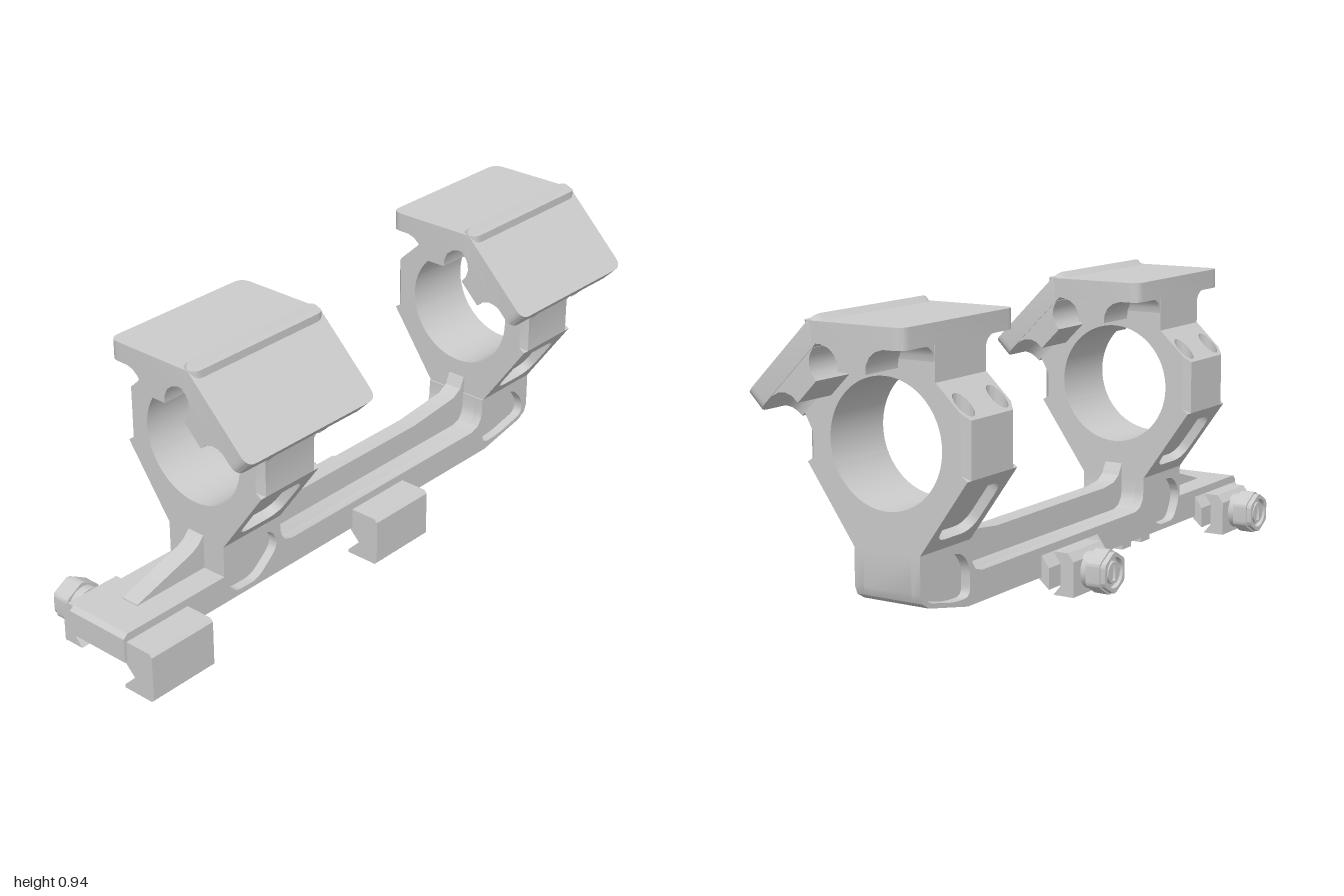
import * as THREE from 'three';
import { toCreasedNormals } from 'three/addons/utils/BufferGeometryUtils.js';

const grey = new THREE.MeshStandardMaterial({ color: 0xcccccc });
const CX = -0.045, CY = 0.58, BORE = 0.185;
const RINGS = [0.48, -0.735], CLAMPS = [0.87, -0.085];

const v2 = pts => pts.map(p => new THREE.Vector2(p[0], p[1]));

function add(parent, name, geo) {
  const mesh = new THREE.Mesh(toCreasedNormals(geo, 0.5), grey);
  mesh.name = name;
  parent.add(mesh);
  return mesh;
}

// Extrude an (x, y) outline along z, centred on z = 0
function alongZ(pts, depth, steps = 1, hole) {
  const s = new THREE.Shape(v2(pts));
  if (hole) s.holes.push(hole);
  return new THREE.ExtrudeGeometry(s, { depth, steps, bevelEnabled: false, curveSegments: 64 })
    .translate(0, 0, -depth / 2);
}

// Extrude a (z, y) outline along x from x0 to x1
function alongX(pts, x0, x1, holes = []) {
  const flip = a => v2(a.map(([z, y]) => [-z, y]));
  const s = new THREE.Shape(flip(pts));
  for (const h of holes) s.holes.push(new THREE.Path(flip(h)));
  return new THREE.ExtrudeGeometry(s, { depth: x1 - x0, bevelEnabled: false })
    .rotateY(Math.PI / 2).translate(x0, 0, 0);
}

// Cut every corner of an outline into a small curve
function soften(pts, r) {
  const out = [], n = pts.length;
  pts.forEach((p, i) => {
    const b = new THREE.Vector2(...p);
    const toward = q => {
      const d = new THREE.Vector2(...q).sub(b);
      return d.setLength(Math.min(r, d.length() * 0.48)).add(b);
    };
    const c = new THREE.QuadraticBezierCurve(toward(pts[(i + n - 1) % n]), b, toward(pts[(i + 1) % n]));
    for (const q of c.getPoints(5)) out.push([q.x, q.y]);
  });
  return out;
}

const rect = (w, h) => [[-w / 2, -h / 2], [w / 2, -h / 2], [w / 2, h / 2], [-w / 2, h / 2]];
const circle = (x, y, r) => new THREE.Path().absarc(x, y, r, 0, Math.PI * 2, true);

// Rail: core with side slabs that carry the pocket cut-outs
function buildBase(root) {
  const base = new THREE.Group();
  base.name = 'base';
  const profile = [[1, 0.095], [1, 0.172], [0.985, 0.185], [0.6, 0.185], [0.6, 0.285], [0.36, 0.285],
    [0.36, 0.24], [0.355, 0.215], [0.34, 0.195], [0.31, 0.185], [-0.56, 0.185], [-0.59, 0.195], [-0.605, 0.215],
    [-0.61, 0.24], [-0.61, 0.285], [-0.855, 0.285], [-0.855, 0.175], [-0.845, 0.15], [-0.815, 0.132], [-0.63, 0.095]];
  const pockets = [
    soften([[0.595, 0.175], [0.56, 0.113], [0.46, 0.113], [0.378, 0.18], [0.378, 0.22], [0.41, 0.257], [0.55, 0.257], [0.59, 0.215]], 0.03),
    soften([[-0.618, 0.12], [-0.7, 0.122], [-0.83, 0.15], [-0.83, 0.2], [-0.78, 0.257], [-0.66, 0.257], [-0.618, 0.21]], 0.03)];
  add(base, 'railCore', alongX(profile, -0.125, 0.035));
  add(base, 'railRightSide', alongX(profile, -0.155, -0.125, pockets));
  add(base, 'railLeftSide', alongX(profile, 0.035, 0.065, pockets));
  // Central stiffening ribs
  add(base, 'middleRib', alongX([[0.37, 0.17], [0.37, 0.34], [0.36, 0.325], [0.34, 0.29], [0.31, 0.272], [0.25, 0.264],
    [-0.36, 0.264], [-0.56, 0.285], [-0.595, 0.305], [-0.61, 0.34], [-0.62, 0.34], [-0.62, 0.17]], -0.075, -0.015));
  add(base, 'frontRib', alongX([[0.59, 0.17], [0.87, 0.17], [0.87, 0.188], [0.65, 0.255], [0.62, 0.272], [0.59, 0.305]], -0.075, -0.015));
  // Recoil lugs
  for (const z of [0.455, 0.335])
    add(base, 'lug', new THREE.BoxGeometry(0.13, 0.05, 0.055).translate(CX, 0.083, z));
  root.add(base);
}

// Top plate with stem and coves, radial distance measured on local y
function buildPlate(parent, name, angle) {
  const g = new THREE.Group();
  g.name = name;
  g.position.set(CX, CY, 0);
  g.rotation.z = angle;
  const slab = alongZ(soften(rect(0.33, 0.53), 0.035), 0.06).rotateX(-Math.PI / 2).translate(0, 0.31, 0);
  add(g, 'plateSlab', slab);
  const half = [[0.045, 0.21], [0.047, 0.235], [0.058, 0.257], [0.077, 0.272], [0.1, 0.279], [0.1, 0.3]];
  const mirror = half.map(([x, y]) => [-x, y]).reverse();
  add(g, 'plateStem', alongZ([...half, ...mirror], 0.526));
  for (const s of [1, -1])
    add(g, 'plateCove', alongX([[0.1, 0.235], [0.12, 0.235], [0.123, 0.252], [0.132, 0.267], [0.147, 0.277],
      [0.165, 0.281], [0.165, 0.29], [0.1, 0.29]].map(([z, y]) => [z * s, y]), -0.163, 0.163));
  parent.add(g);
}

// One scope ring with its plates, shoulder holes and leg pockets
function buildRing(root, z) {
  const ring = new THREE.Group();
  ring.name = 'ring';
  ring.position.z = z;
  const D = 0.24;
  const outline = [[-0.155, 0.28], [0.065, 0.28], [0.065, 0.285], [0.0405, 0.302], [0.1955, 0.522], [0.22, 0.505],
    [0.22, 0.62], [0.226, 0.638], [0.245, 0.655], [0.268, 0.664], [0.273, 0.686], [0.079, 0.88], [-0.21, 0.88], [-0.21, 0.76],
    [-0.215, 0.755], [-0.215, 0.665], [-0.31, 0.665], [-0.31, 0.505], [-0.2855, 0.522], [-0.1305, 0.302], [-0.155, 0.285]];
  // Chamfer the vertical side edges
  const chamfer = geo => {
    const p = geo.attributes.position;
    for (let i = 0; i < p.count; i++)
      if (Math.abs(p.getZ(i)) > D / 2 - 0.001 && p.getY(i) < 0.67)
        p.setX(i, Math.max(-0.29, p.getY(i) < 0.63 ? Math.min(0.2, p.getX(i)) : p.getX(i)));
    return geo;
  };
  add(ring, 'ringBody', chamfer(alongZ(outline, D, 12, circle(CX, CY, BORE))));

  // Sloped shoulder with two screw holes
  const sh = new THREE.Shape(v2([[-0.31, -0.1], [-0.29, -0.12], [-0.212, -0.12], [-0.212, 0.12], [-0.29, 0.12], [-0.31, 0.1]]));
  for (const s of [1, -1]) sh.holes.push(circle(-0.272, s * 0.08, 0.03));
  const shoulder = new THREE.ExtrudeGeometry(sh, { depth: 1, bevelEnabled: false, curveSegments: 24 }).rotateX(-Math.PI / 2);
  const p = shoulder.attributes.position;
  for (let i = 0; i < p.count; i++)
    p.setY(i, 0.665 + (p.getY(i) > 0.5 ? 0.001 + (p.getX(i) + 0.31) * 0.95 : 0));
  add(ring, 'shoulder', shoulder);

  // Framed pockets on the slanted legs
  const len = Math.hypot(0.155, 0.22), tilt = Math.atan2(0.155, 0.22);
  for (const s of [1, -1]) {
    const hole = new THREE.Path(v2(soften(rect(0.175, 0.185), 0.05)));
    const panel = alongZ(rect(D, len), 0.03, 1, hole).translate(0, 0, -0.015)
      .rotateY(s * Math.PI / 2).rotateZ(-s * tilt)
      .translate(CX + s * 0.1875, 0.395, 0);
    add(ring, 'legPocketFrame', panel);
  }
  buildPlate(ring, 'topPlate', 0);
  buildPlate(ring, 'angledPlate', -Math.PI / 4);
  root.add(ring);
}

// Fixed jaw, sliding jaw and hex bolt
function buildClamp(root, z) {
  const clamp = new THREE.Group();
  clamp.name = 'clamp';
  clamp.position.z = z;
  add(clamp, 'fixedJaw', alongZ([[0.05, 0], [0.157, 0], [0.165, 0.008], [0.165, 0.15], [0.155, 0.16], [0.06, 0.16],
    [0.05, 0.095], [0.092, 0.052], [0.05, 0.01]], 0.24));
  add(clamp, 'slidingJaw', alongZ([[-0.225, 0.027], [-0.155, 0.027], [-0.18, 0.057], [-0.14, 0.095], [-0.14, 0.16],
    [-0.205, 0.16], [-0.225, 0.135]], 0.19));
  const z0 = -0.16, z1 = Math.min(0.16, 1 - z);
  add(clamp, 'jawWedge', alongZ([[-0.18, 0.06], [-0.14, 0.095], [-0.13, 0.095], [-0.13, 0.17], [-0.15, 0.168],
    [-0.18, 0.125]], z1 - z0).translate(0, 0, (z0 + z1) / 2));
  const hex = r => Array.from({ length: 6 }, (_, i) => {
    const a = i * Math.PI / 3;
    return [Math.sin(a) * r, 0.095 + Math.cos(a) * r];
  });
  const round = (r, n = 24) => Array.from({ length: n }, (_, i) =>
    [Math.sin(i * 2 * Math.PI / n) * r, 0.095 + Math.cos(i * 2 * Math.PI / n) * r]);
  add(clamp, 'boltNeck', alongX(round(0.057), -0.25, -0.22));
  add(clamp, 'boltHead', alongX(soften(hex(0.072), 0.012), -0.295, -0.247));
  add(clamp, 'boltRim', alongX(soften(hex(0.066), 0.012), -0.311, -0.295, [round(0.047)]));
  add(clamp, 'boltCore', alongX(round(0.034), -0.308, -0.29, [soften([[-0.008, 0.07], [0.008, 0.07], [0.008, 0.12], [-0.008, 0.12]], 0.004)]));
  root.add(clamp);
}

export function createModel() {
  const root = new THREE.Group();
  root.name = 'scopeMount';
  buildBase(root);
  RINGS.forEach(z => buildRing(root, z));
  CLAMPS.forEach(z => buildClamp(root, z));
  return root;
}
